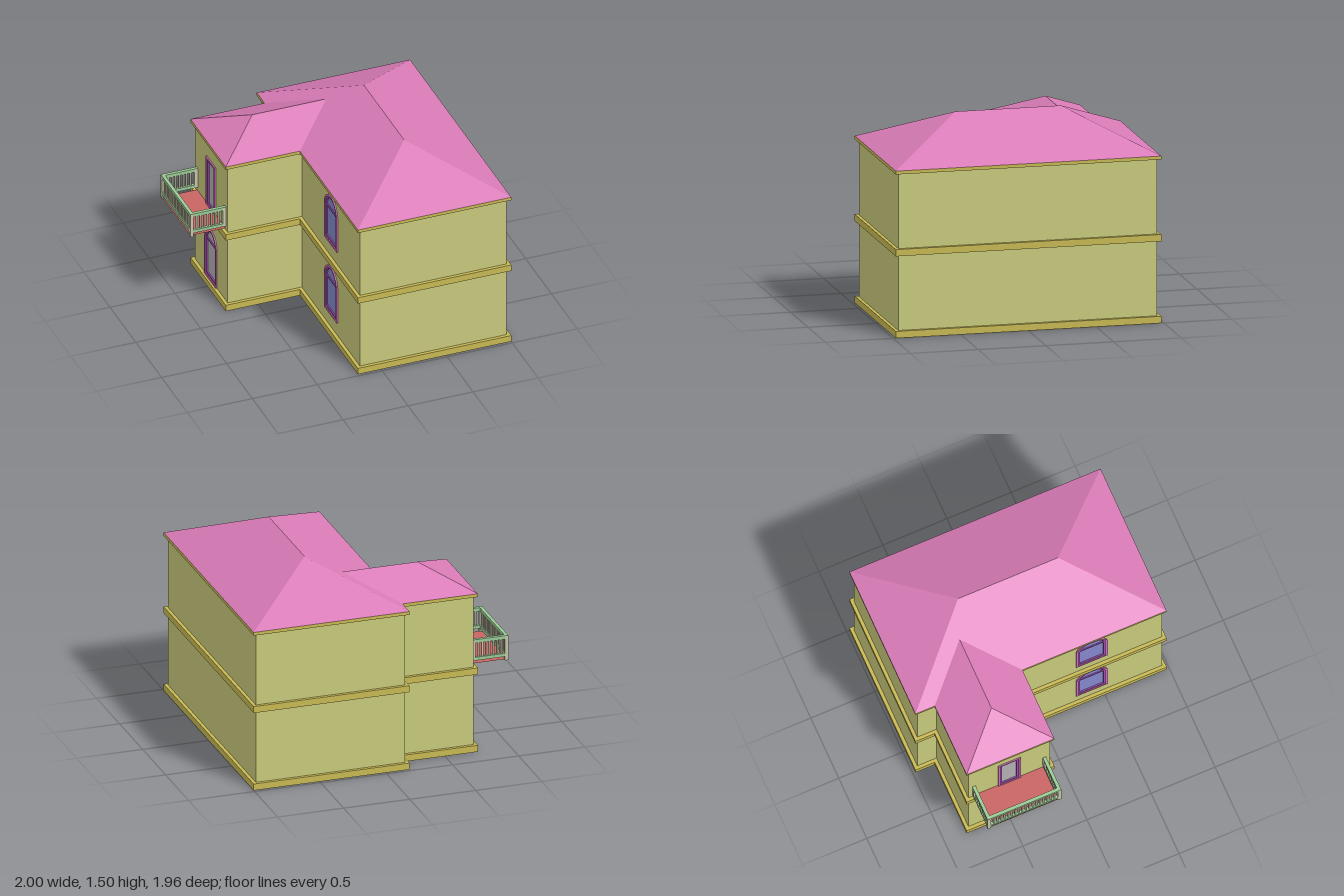
import * as THREE from 'three';

const mat = (color, side = THREE.FrontSide) =>
  new THREE.MeshStandardMaterial({ color, side, flatShading: true });

const MAT = {
  wall: mat(0xc8ca7c, THREE.DoubleSide),
  trim: mat(0xc8b954),
  roof: mat(0xda7cb8, THREE.DoubleSide),
  floor: mat(0xc86462, THREE.DoubleSide),
  rail: mat(0x9cca96),
  post: mat(0xc8c6aa),
  casing: mat(0xd070b8),
  sash: mat(0xa050b4),
  blueGlass: mat(0x8488cc),
  greyGlass: mat(0xb4b0b4),
};

function add(parent, name, geometry, material, x = 0, y = 0, z = 0) {
  const mesh = new THREE.Mesh(geometry, material);
  mesh.name = name;
  mesh.position.set(x, y, z);
  parent.add(mesh);
  return mesh;
}

// L-shaped outline as [x, z] corners, pulled inwards by d
const footprint = (d) => [
  [1 - d, 0.98 - d], [-0.18 + d, 0.98 - d], [-0.18 + d, -0.145 - d], [-0.75 + d, -0.145 - d],
  [-0.75 + d, -0.83 + d], [-0.18 + d, -0.83 + d], [-0.18 + d, -0.98 + d], [1 - d, -0.98 + d],
].map(([x, z]) => new THREE.Vector2(x, z));

// Horizontal moulding that follows the outline
function band(parent, name, y0, y1) {
  const shape = new THREE.Shape(footprint(0));
  shape.holes.push(new THREE.Path(footprint(0.05)));
  const g = new THREE.ExtrudeGeometry(shape, { depth: y1 - y0, bevelEnabled: false });
  g.rotateX(Math.PI / 2);
  add(parent, name, g, MAT.trim, 0, y1, 0);
}

// Outline of a door or window, shrunk by d; the head is round when arched
function opening(Type, o, d = 0) {
  const r = o.w / 2 - d, p = new Type();
  p.moveTo(o.u - r, o.y0 + d);
  p.lineTo(o.u + r, o.y0 + d);
  if (o.arched) p.absarc(o.u, o.y1 - o.w / 2, r, 0, Math.PI, false);
  else {
    p.lineTo(o.u + r, o.y1 - d);
    p.lineTo(o.u - r, o.y1 - d);
  }
  p.closePath();
  return p;
}

const slab = (shape, z0, z1) => new THREE.ExtrudeGeometry(shape,
  { depth: z1 - z0, bevelEnabled: false, curveSegments: 16 }).translate(0, 0, z0);

// Casing, sash, pane and transom of one opening
function fillOpening(parent, o) {
  const unit = new THREE.Group();
  unit.name = o.name;
  const casing = opening(THREE.Shape, o);
  casing.holes.push(opening(THREE.Path, o, 0.016));
  add(unit, 'casing', slab(casing, -0.01, 0.028), MAT.casing);
  const sash = opening(THREE.Shape, o, 0.016);
  sash.holes.push(opening(THREE.Path, o, 0.03));
  add(unit, 'sash', slab(sash, -0.003, 0.023), MAT.sash);
  add(unit, 'pane', slab(opening(THREE.Shape, o, 0.026), 0.007, 0.013), o.glass);
  if (o.arched) {
    add(unit, 'transom', new THREE.BoxGeometry(o.w - 0.05, 0.014, 0.022), MAT.sash,
      o.u, o.y1 - o.w / 2, 0.01);
  }
  parent.add(unit);
}

// Thin wall panel between two outline corners, with holes for its openings
function wall(parent, a, b, openings) {
  const d = b.clone().sub(a), len = d.length();
  const side = new THREE.Group();
  side.name = 'wallSide';
  side.position.set(a.x, 0, a.y);
  side.rotation.y = Math.atan2(-d.y, d.x);
  const shape = new THREE.Shape();
  shape.moveTo(0, 0.02).lineTo(len, 0.02).lineTo(len, 1.21).lineTo(0, 1.21).closePath();
  for (const o of openings) {
    shape.holes.push(opening(THREE.Path, o, 0.004));
    fillOpening(side, o);
  }
  add(side, 'wall', slab(shape, 0, 0.02), MAT.wall);
  parent.add(side);
}

// Faces given as corner loops, fanned into triangles
function faceted(faces) {
  const pos = [];
  for (const f of faces) {
    for (let i = 1; i < f.length - 1; i++) pos.push(...f[0], ...f[i], ...f[i + 1]);
  }
  const g = new THREE.BufferGeometry();
  g.setAttribute('position', new THREE.Float32BufferAttribute(pos, 3));
  g.computeVertexNormals();
  return g;
}

function buildRoofs(parent) {
  const e = 1.225, h = 1.5, w = 1.385, m = -0.4875;
  const A = [-0.18, e, 0.98], B = [1, e, 0.98], C = [1, e, -0.98], D = [-0.18, e, -0.98];
  const F = [0.41, h, 0.39], K = [0.41, h, -0.39];
  add(parent, 'mainRoof', faceted([[A, B, F], [B, C, K, F], [C, D, K], [D, A, F, K]]), MAT.roof);
  const P = [-0.75, e, -0.145], Q = [-0.18, e, -0.145], R = [0.16, w, m], S = [-0.41, w, m];
  const T = [-0.75, e, -0.83], U = [-0.18, e, -0.83];
  add(parent, 'wingRoof', faceted([[P, Q, R, S], [U, T, S, R], [T, P, S]]), MAT.roof);
}

function buildBalcony(parent) {
  const balcony = new THREE.Group();
  balcony.name = 'balcony';
  const t = 0.025, zc = -0.4875, half = 0.275;
  const floor = new THREE.PlaneGeometry(0.27, 2 * half).rotateX(-Math.PI / 2);
  add(balcony, 'balconyFloor', floor, MAT.floor, -0.86, 0.66, zc);

  // Outer railing
  for (const y of [0.6975, 0.8325]) {
    add(balcony, 'outerRail', new THREE.BoxGeometry(t, t, 2 * half), MAT.rail, -0.9875, y, zc);
  }
  for (let i = 1; i < 19; i++) {
    add(balcony, 'baluster', new THREE.BoxGeometry(0.012, 0.12, 0.012), MAT.post,
      -0.9875, 0.765, zc - 0.2625 + i * 0.525 / 19);
  }
  // Side railings with a corner post and a wall post
  for (const s of [-1, 1]) {
    const z = zc + s * half;
    add(balcony, 'cornerPost', new THREE.BoxGeometry(t, 0.19, t), MAT.post, -0.9875, 0.75, z);
    add(balcony, 'wallPost', new THREE.BoxGeometry(t, 0.16, t), MAT.post, -0.7375, 0.765, z);
    for (const y of [0.6975, 0.8325]) {
      add(balcony, 'sideRail', new THREE.BoxGeometry(0.225, t, t), MAT.rail, -0.8625, y, z);
    }
    for (let i = 1; i < 8; i++) {
      add(balcony, 'baluster', new THREE.BoxGeometry(0.012, 0.12, 0.012), MAT.post,
        -0.975 + i * 0.225 / 8, 0.765, z);
    }
  }
  // Green cap around the top
  add(balcony, 'railCap', new THREE.BoxGeometry(t, 0.004, 2 * half + t), MAT.rail, -0.9875, 0.845, zc);
  for (const s of [-1, 1]) {
    add(balcony, 'railCap', new THREE.BoxGeometry(0.25, 0.004, t), MAT.rail,
      -0.85, 0.845, zc + s * half);
  }
  parent.add(balcony);
}

export function createModel() {
  const house = new THREE.Group();
  house.name = 'house';

  // Openings by wall side: u along the wall, y0 to y1 in height
  const arched = true;
  const openings = {
    1: [
      { name: 'lowerWindow', u: 0.55, w: 0.245, y0: 0.16, y1: 0.565, arched, glass: MAT.blueGlass },
      { name: 'upperWindow', u: 0.55, w: 0.245, y0: 0.76, y1: 1.165, arched, glass: MAT.blueGlass },
    ],
    3: [
      { name: 'frontDoor', u: 0.3175, w: 0.225, y0: 0.05, y1: 0.48, arched, glass: MAT.greyGlass },
      { name: 'balconyDoor', u: 0.3175, w: 0.175, y0: 0.65, y1: 1.06, glass: MAT.greyGlass },
    ],
  };
  const corners = footprint(0.025);
  corners.forEach((c, i) => wall(house, c, corners[(i + 1) % corners.length], openings[i] || []));

  band(house, 'baseBand', 0, 0.05);
  band(house, 'floorBand', 0.6, 0.65);
  band(house, 'eavesBand', 1.2, 1.225);
  buildRoofs(house);
  buildBalcony(house);
  return house;
}
